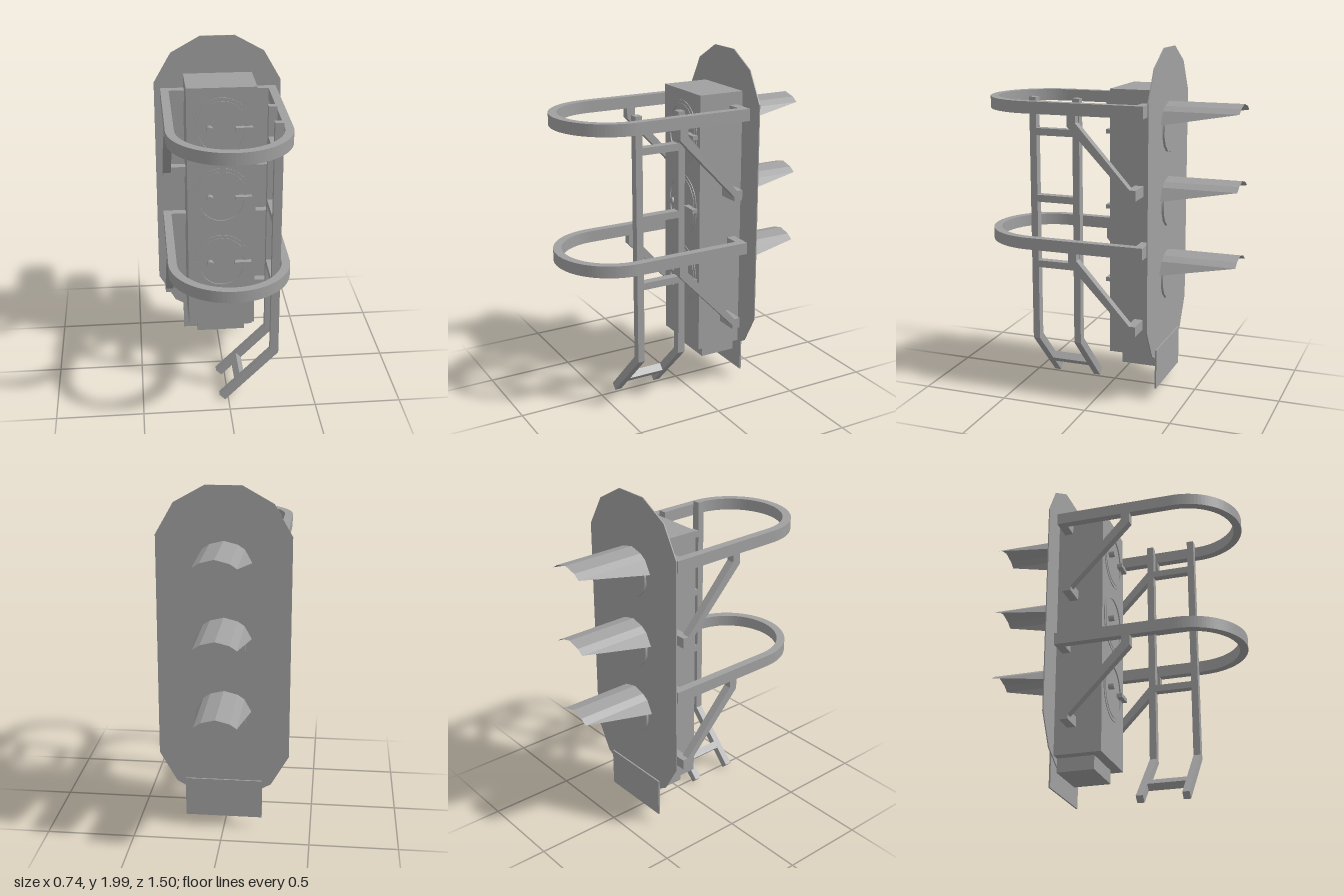
import * as THREE from 'three';

export function createModel() {
  const root = new THREE.Group();
  root.name = 'railwaySignalHead';
  const grey = new THREE.MeshStandardMaterial({ color: 0xa0a0a0 });
  grey.name = 'grey';
  const greySheet = new THREE.MeshStandardMaterial({ color: 0xa0a0a0, side: THREE.DoubleSide, flatShading: true });
  greySheet.name = 'grey sheet';

  const add = (name, geo, mat = grey) => {
    const m = new THREE.Mesh(geo, mat);
    m.name = name;
    root.add(m);
    return m;
  };
  // box given by its limits on each axis
  const box = (name, x0, x1, y0, y1, z0, z1) => {
    const m = add(name, new THREE.BoxGeometry(x1 - x0, y1 - y0, z1 - z0));
    m.position.set((x0 + x1) / 2, (y0 + y1) / 2, (z0 + z1) / 2);
    return m;
  };
  const poly = pts => new THREE.Shape(pts.map(p => new THREE.Vector2(...p)));
  const extrude = (shape, depth, curveSegments = 12) =>
    new THREE.ExtrudeGeometry(shape, { depth, bevelEnabled: false, curveSegments });

  // backplate with faceted ends
  const half = [[0.10, 2.0], [0.27, 1.905], [0.37, 1.73], [0.37, 0.46], [0.27, 0.285], [0.10, 0.19]];
  const outline = [...half, ...half.map(([x, y]) => [-x, y]).reverse()].reverse();
  add('backplate', extrude(poly(outline), 0.006)).position.z = -0.322;

  // housing, terminal box and number plate
  box('housing', -0.2, 0.2, 0.26, 1.78, -0.317, -0.043);
  box('terminalBox', -0.145, 0.145, 0.18, 0.26, -0.317, -0.10);
  box('lowerPlate', -0.22, 0.22, 0.075, 0.305, -0.331, -0.322);

  // stadium path for the door rims
  const stadium = (r, path) => {
    const s = 0.018;
    path.absarc(0, s, r, 0, Math.PI, false);
    path.absarc(0, -s, r, Math.PI, Math.PI * 2, false);
    path.closePath();
    return path;
  };
  const rim = (outer, inner, depth) => {
    const s = stadium(outer, new THREE.Shape());
    s.holes.push(stadium(inner, new THREE.Path()));
    return extrude(s, depth);
  };

  // sun hood: arc of a tube trimmed by a sloping plane
  const hoodGeo = () => {
    const R = 0.163;
    const ring = (a, z) => [62, 90, 118].map(d => d * Math.PI / 180)
      .reduce((list, t) => [...list, [R * Math.cos(t), R * Math.sin(t), z]], a);
    const base = [...ring([[0.155, 0.045, -0.322], [0.115, 0.118, -0.322]], -0.322),
      [-0.115, 0.118, -0.322], [-0.155, 0.045, -0.322]];
    const tip = [...ring([[0.115, 0.118, -0.75], [0.115, 0.118, -0.75]], -0.75),
      [-0.115, 0.118, -0.75], [-0.115, 0.118, -0.75]];
    const pos = [];
    for (let i = 0; i < base.length - 1; i++) {
      pos.push(...base[i], ...tip[i], ...base[i + 1]);
      pos.push(...base[i + 1], ...tip[i], ...tip[i + 1]);
    }
    const g = new THREE.BufferGeometry();
    g.setAttribute('position', new THREE.Float32BufferAttribute(pos, 3));
    g.computeVertexNormals();
    return g;
  };

  // three lamps: rear door rim, knob and latch; lens and hood on the other side
  [1.54, 1.113, 0.685].forEach(y => {
    add('doorOuterRim', rim(0.165, 0.145, 0.004)).position.set(0, y, -0.043);
    add('doorInnerRim', rim(0.145, 0.13, 0.007)).position.set(0, y, -0.043);
    const knob = add('doorKnob', new THREE.CylinderGeometry(0.02, 0.02, 0.034, 12).rotateX(Math.PI / 2));
    knob.position.set(-0.07, y, -0.026);
    box('doorLatch', 0.078, 0.176, y - 0.012, y + 0.012, -0.043, -0.01);
    const lens = add('lens', new THREE.CylinderGeometry(0.125, 0.125, 0.014, 14).rotateX(Math.PI / 2));
    lens.position.set(0, y, -0.328);
    add('hood', hoodGeo(), greySheet).position.y = y;
  });

  // guard hoop outline seen from above, with ends turned in to the housing
  const hoop = new THREE.Shape();
  hoop.moveTo(0.2, -0.28);
  hoop.lineTo(0.335, -0.28);
  hoop.lineTo(0.335, 0.41);
  hoop.absarc(0, 0.41, 0.335, 0, Math.PI, false);
  hoop.lineTo(-0.335, -0.28);
  hoop.lineTo(-0.2, -0.28);
  hoop.lineTo(-0.2, -0.23);
  hoop.lineTo(-0.288, -0.23);
  hoop.lineTo(-0.288, 0.41);
  hoop.absarc(0, 0.41, 0.288, Math.PI, 0, true);
  hoop.lineTo(0.288, -0.23);
  hoop.lineTo(0.2, -0.23);
  hoop.closePath();

  // diagonal strut in the z-y plane, measured from the hoop underside
  const strut = [[0.16, 0], [0.11, 0], [0.11, -0.04], [-0.205, -0.39], [-0.24, -0.39],
    [-0.24, -0.45], [-0.19, -0.45], [-0.19, -0.425], [0.16, -0.06]];
  [1.64, 0.862].forEach(y => {
    add('guardHoop', extrude(hoop, 0.068, 24).rotateX(Math.PI / 2)).position.y = y + 0.068;
    [[0.335, 1], [-0.288, -1]].forEach(([x, side]) => {
      add('hoopStrut', extrude(poly(strut), 0.047).rotateY(-Math.PI / 2)).position.set(x, y, 0);
      const inner = side * 0.2, outer = side * 0.29;
      box('strutFoot', Math.min(inner, outer), Math.max(inner, outer), y - 0.45, y - 0.39, -0.24, -0.19);
    });
  });

  // ladder rails with the kicked-in lower end
  const rail = [[0.24, 1.728], [0.24, 0.335], [-0.052, 0.04], [-0.02, 0.007], [0.288, 0.318], [0.288, 1.728]];
  [0.105, 0.362].forEach(z => {
    add('ladderRail', extrude(poly(rail), 0.04)).position.z = z;
  });
  [1.535, 1.155, 0.77].forEach(y => box('ladderRung', 0.24, 0.288, y - 0.02, y + 0.02, 0.145, 0.362));
  const lowRung = box('lowerRung', 0.045, 0.09, 0.105, 0.15, 0.145, 0.362);
  lowRung.rotation.z = Math.PI / 4;

  return root;
}
